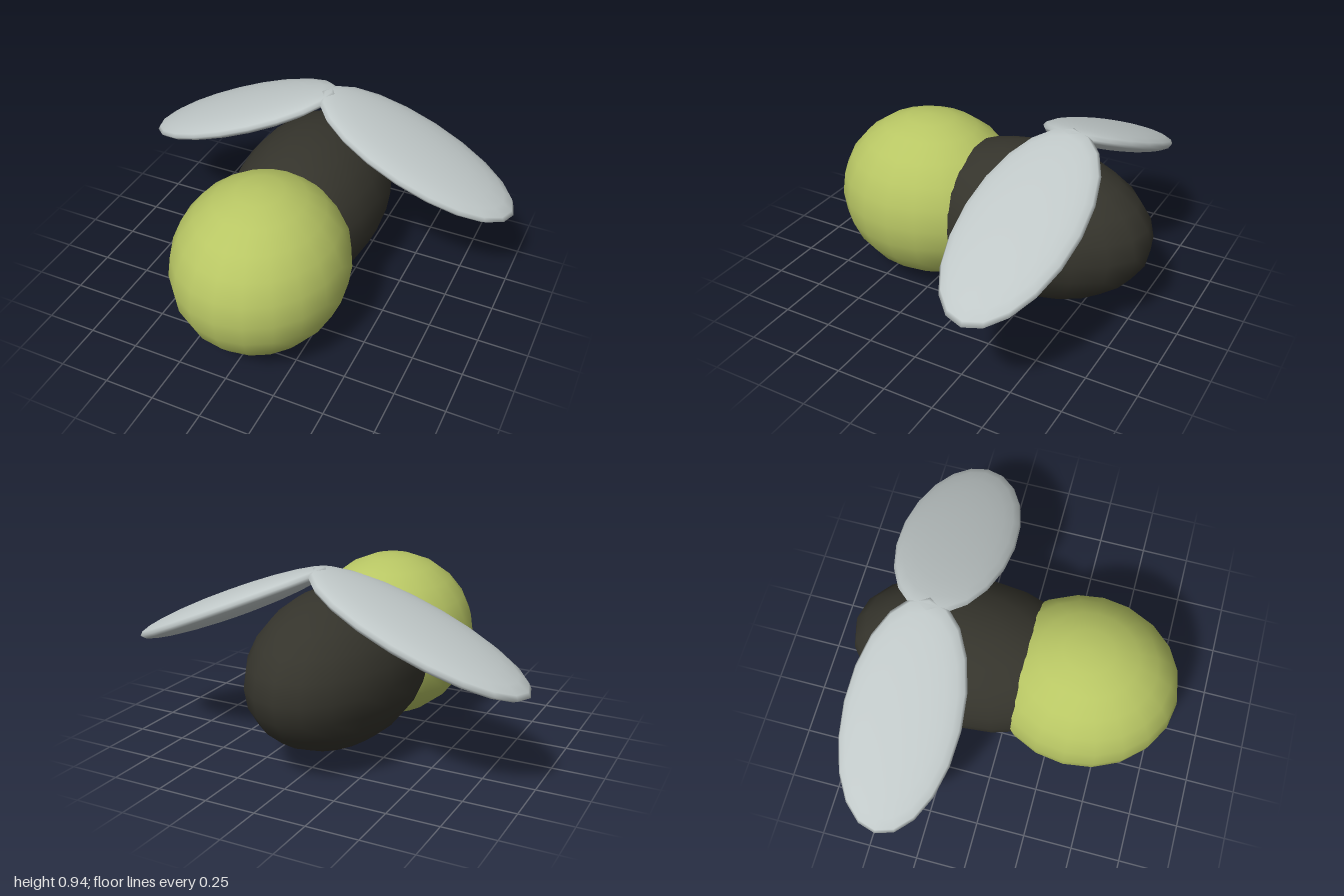
import * as THREE from 'three';

const green = new THREE.MeshStandardMaterial({ name: 'olive green', color: 0xb8c664 });
const dark = new THREE.MeshStandardMaterial({ name: 'charcoal', color: 0x35342c });
const grey = new THREE.MeshStandardMaterial({ name: 'pale grey', color: 0xc0c8c8 });

// Smooth low-poly ellipsoid given its centre and radii
function ellipsoid(name, material, centre, radii) {
  const geometry = new THREE.SphereGeometry(1, 20, 12).scale(...radii);
  const mesh = new THREE.Mesh(geometry, material);
  mesh.name = name;
  mesh.position.set(...centre);
  return mesh;
}

export function createModel() {
  const model = new THREE.Group();
  model.name = 'flyingInsect';

  // Head and body overlap along z
  model.add(ellipsoid('head', green, [0, 0.43, 0.357], [0.425, 0.425, 0.473]));
  model.add(ellipsoid('body', dark, [0, 0.43, -0.21], [0.38, 0.38, 0.62]));

  // Mirrored wings droop outwards and cross slightly at the middle
  for (const side of [1, -1]) {
    const wing = ellipsoid(side > 0 ? 'leftWing' : 'rightWing', grey,
      [side * 0.48, 0.717, -0.405], [0.564, 0.066, 0.283]);
    wing.rotation.z = -side * 0.4;
    model.add(wing);
  }
  return model;
}
